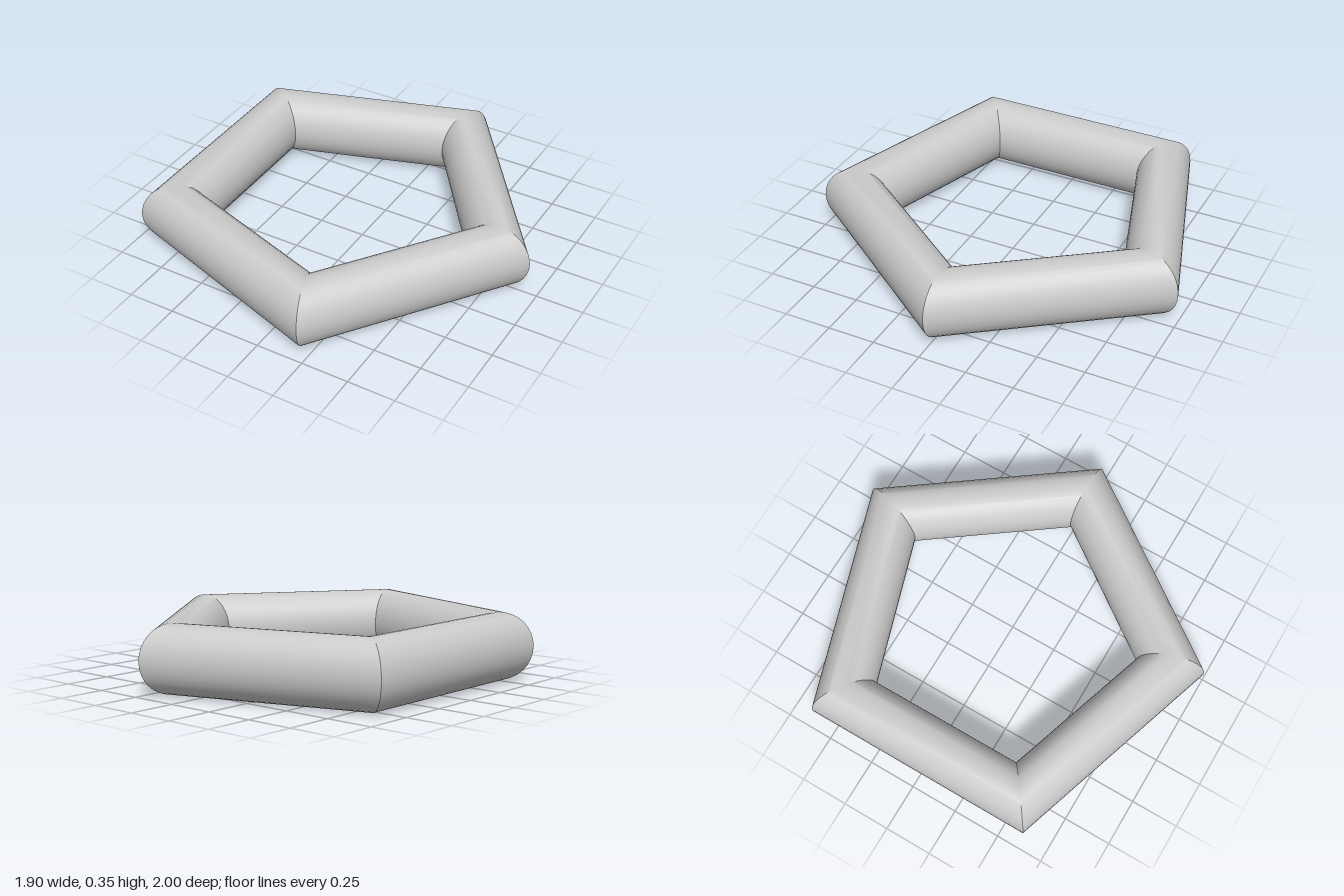
import * as THREE from 'three';
import { toCreasedNormals } from 'three/addons/utils/BufferGeometryUtils.js';

const SIDES = 5;
const TUBE = 0.175; // half the height of the tube
const CORNER = 1 / Math.sin((2 * Math.PI) / SIDES); // centre to outer corner
const RING = CORNER - TUBE;

export function createModel() {
  const group = new THREE.Group();
  group.name = 'pentagonRing';

  // Round tube bent into five straight sides, one corner pointing to +x
  const torus = new THREE.TorusGeometry(RING, TUBE, 32, SIDES);
  torus.rotateX(Math.PI / 2);

  // Smooth around the tube, sharp at the mitred corners
  const geometry = toCreasedNormals(torus, THREE.MathUtils.degToRad(30));
  const ring = new THREE.Mesh(geometry, new THREE.MeshStandardMaterial({ color: 0xcccccc }));
  ring.name = 'ring';

  // Stand on the ground and centre the extents in x
  const farSide = CORNER * Math.cos(Math.PI / SIDES);
  ring.position.set((farSide - CORNER) / 2, TUBE, 0);
  group.add(ring);
  return group;
}
